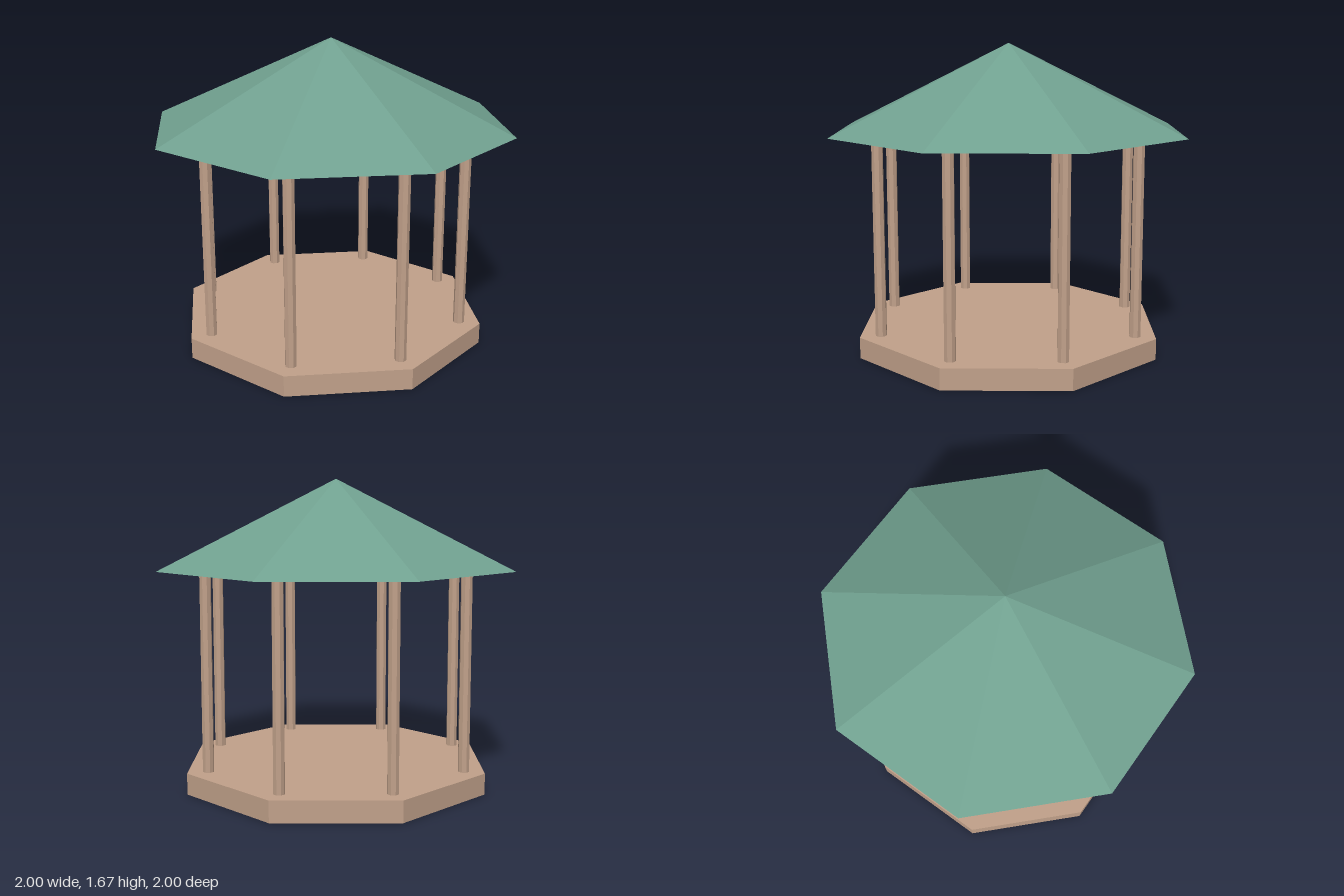
import * as THREE from 'three';

const SIDES = 8;
const BASE_HEIGHT = 0.115;
const EAVES = 1.195;
const PEAK = 1.67;

export function createModel() {
  const wood = new THREE.MeshStandardMaterial({ color: 0xc1a18a, flatShading: true });
  wood.name = 'wood';
  const roofGreen = new THREE.MeshStandardMaterial({ color: 0x70a08f, flatShading: true });
  roofGreen.name = 'roofGreen';

  const pavilion = new THREE.Group();
  pavilion.name = 'pavilion';

  function add(parent, name, geometry, material, x, y, z) {
    const mesh = new THREE.Mesh(geometry, material);
    mesh.name = name;
    mesh.position.set(x, y, z);
    parent.add(mesh);
    return mesh;
  }

  // Octagonal floor with corners on the axes
  const floorGeometry = new THREE.CylinderGeometry(0.858, 0.858, BASE_HEIGHT, SIDES);
  add(pavilion, 'floor', floorGeometry, wood, 0, BASE_HEIGHT / 2, 0);

  // One post at each corner, from the floor to the eaves
  const posts = new THREE.Group();
  posts.name = 'posts';
  pavilion.add(posts);
  const postHeight = EAVES - BASE_HEIGHT;
  const postGeometry = new THREE.CylinderGeometry(0.031, 0.031, postHeight, 8);
  for (let i = 0; i < SIDES; i++) {
    const angle = (i / SIDES) * Math.PI * 2;
    add(posts, `post${i + 1}`, postGeometry, wood,
      Math.sin(angle) * 0.74, BASE_HEIGHT + postHeight / 2, Math.cos(angle) * 0.74);
  }

  // Eight-sided pointed roof, closed underneath
  const roofGeometry = new THREE.ConeGeometry(1, PEAK - EAVES, SIDES);
  add(pavilion, 'roof', roofGeometry, roofGreen, 0, (EAVES + PEAK) / 2, 0);

  return pavilion;
}
